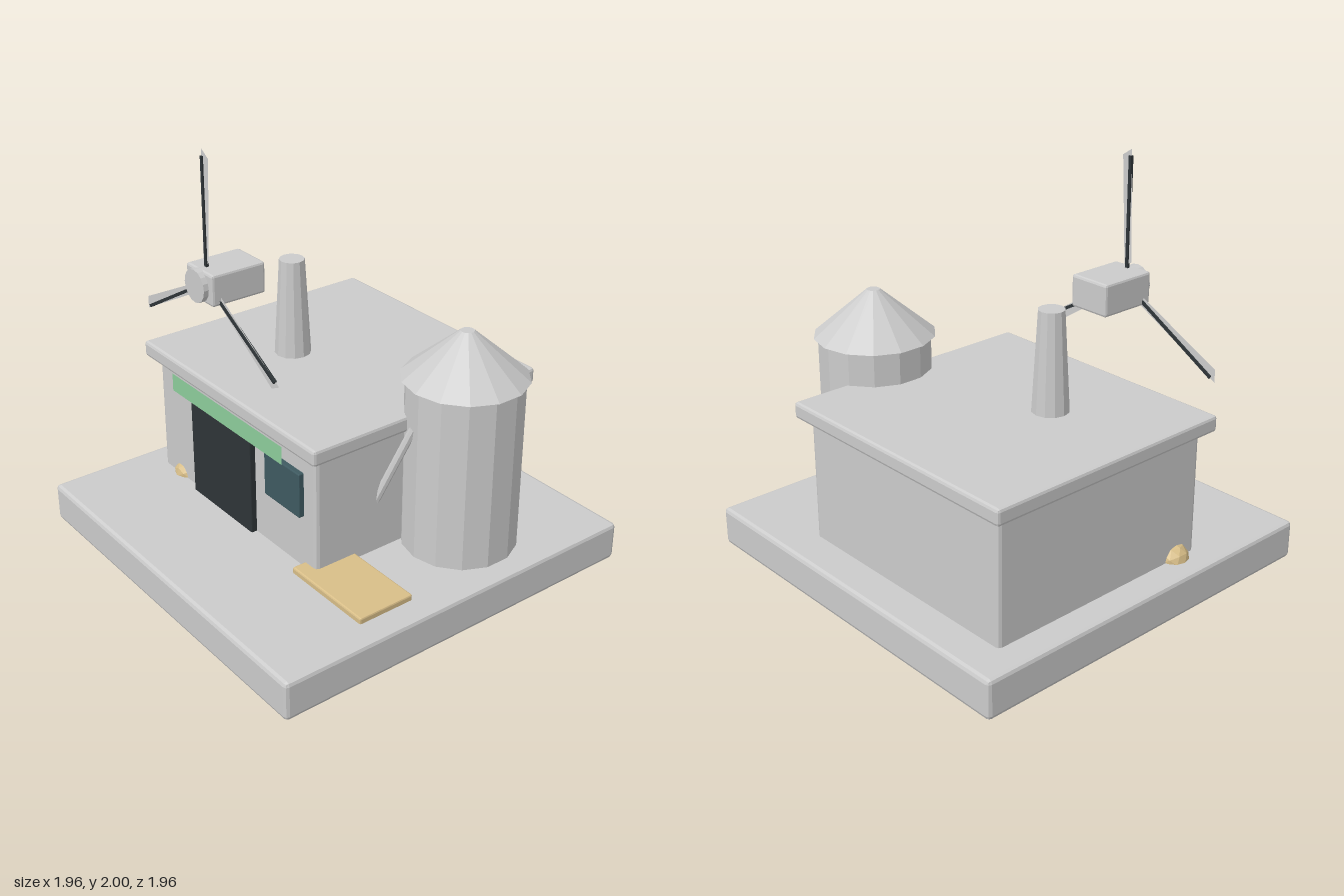
import * as THREE from 'three';
import { RoundedBoxGeometry } from 'three/addons/geometries/RoundedBoxGeometry.js';

const mat = (color, side = THREE.FrontSide) =>
  new THREE.MeshStandardMaterial({ color, flatShading: true, side });

export function createModel() {
  const model = new THREE.Group();
  const grey = mat(0xcccccc);
  const sheet = mat(0xcccccc, THREE.DoubleSide);
  const dark = mat(0x2e3437);
  const glass = mat(0x3e5a61);
  const green = mat(0x8ccc9b, THREE.DoubleSide);
  const sand = mat(0xd8be88);

  const add = (name, geometry, material, x = 0, y = 0, z = 0, parent = model) => {
    const mesh = new THREE.Mesh(geometry, material);
    mesh.name = name;
    mesh.position.set(x, y, z);
    parent.add(mesh);
    return mesh;
  };
  // Box with chamfered edges, given by its extents on each axis
  const block = (name, material, [x0, x1], [y0, y1], [z0, z1], bevel) =>
    add(name, new RoundedBoxGeometry(x1 - x0, y1 - y0, z1 - z0, 1, bevel), material,
      (x0 + x1) / 2, (y0 + y1) / 2, (z0 + z1) / 2);

  // Ground slab and building
  block('baseSlab', grey, [-0.98, 0.98], [0, 0.193], [-0.98, 0.98], 0.02);
  block('walls', grey, [-0.835, 0.447], [0.17, 0.83], [-0.795, 0.42], 0.02);
  block('roofSlab', grey, [-0.888, 0.505], [0.8, 0.88], [-0.845, 0.475], 0.015);
  block('door', dark, [-0.515, -0.02], [0.18, 0.74], [0.41, 0.45], 0.005);
  block('window', glass, [0.09, 0.357], [0.463, 0.688], [0.41, 0.447], 0.005);
  add('signBoard', new THREE.PlaneGeometry(0.906, 0.092), green, -0.21, 0.736, 0.457);
  block('plank', sand, [0.36, 0.85], [0.185, 0.222], [0.195, 0.49], 0.008);

  // Chimney on the roof
  add('chimney', new THREE.CylinderGeometry(0.062, 0.09, 0.495, 12), grey, -0.345, 1.118, -0.04);

  // Silo with a conical cap
  add('silo', new THREE.CylinderGeometry(0.275, 0.275, 0.87, 14), grey, 0.602, 0.615, -0.3);
  add('siloCap', new THREE.CylinderGeometry(0.032, 0.295, 0.225, 14), grey, 0.602, 1.158, -0.3);

  // Sloping pipe from the silo into the side wall
  const low = new THREE.Vector3(0.42, 0.42, 0.074);
  const high = new THREE.Vector3(0.55, 0.835, -0.045);
  const axis = high.clone().sub(low);
  const pipe = add('feedPipe', new THREE.CylinderGeometry(0.02, 0.02, axis.length(), 8), grey);
  pipe.position.copy(low).add(high).multiplyScalar(0.5);
  pipe.quaternion.setFromUnitVectors(new THREE.Vector3(0, 1, 0), axis.normalize());

  // Sand heaps against the walls
  for (const [x, z] of [[-0.685, 0.372], [-0.815, 0.3]]) {
    add('sandHeap', new THREE.IcosahedronGeometry(0.078, 1), sand, x, 0.188, z);
  }

  // Wind turbine head
  block('turbineHousing', grey, [-0.45, -0.235], [1.29, 1.445], [0.19, 0.48], 0.012);
  const rotor = new THREE.Group();
  rotor.name = 'rotor';
  rotor.position.set(-0.345, 1.368, 0.436);
  model.add(rotor);
  add('hub', new THREE.CylinderGeometry(0.08, 0.08, 0.08, 16).rotateX(Math.PI / 2), grey,
    0, 0, 0.03, rotor);

  // Three skewed flat blades, each with a dark spar
  const bladeShape = new THREE.Shape([[-0.024, 0.108], [0.018, 0.09], [0.048, 0.597], [-0.005, 0.632]]
    .map(([x, y]) => new THREE.Vector2(x, y)));
  for (let i = 0; i < 3; i++) {
    const arm = new THREE.Group();
    arm.name = 'bladeArm';
    arm.rotation.z = (i * Math.PI * 2) / 3;
    rotor.add(arm);
    add('blade', new THREE.ShapeGeometry(bladeShape), sheet, 0, 0, 0, arm);
    add('spar', new THREE.BoxGeometry(0.015, 0.6, 0.015), dark, 0, 0.3, 0, arm);
  }
  return model;
}
